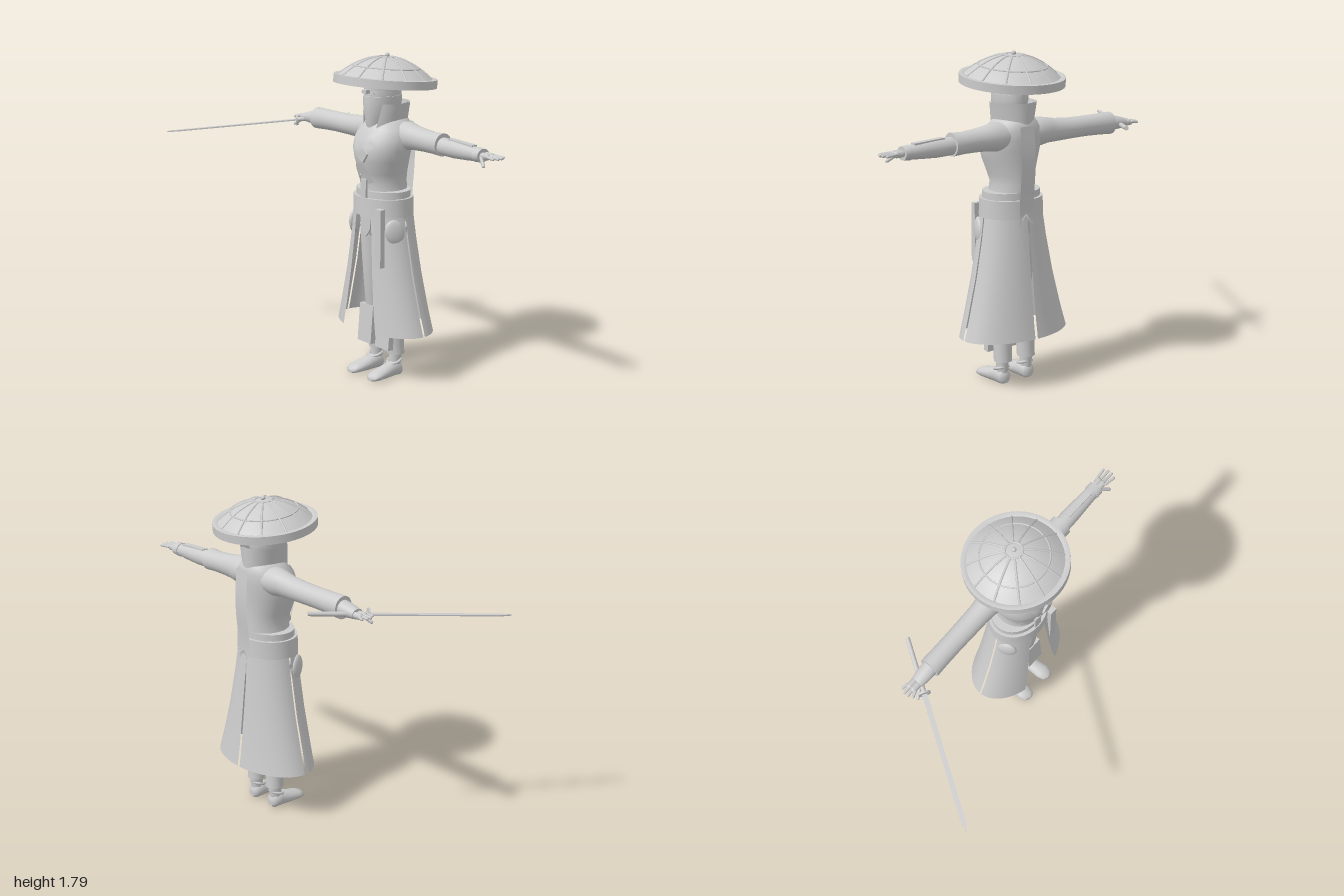
import * as THREE from 'three';
import { toCreasedNormals } from 'three/addons/utils/BufferGeometryUtils.js';

const CX = 0.155; // body centre line
const grey = new THREE.MeshStandardMaterial({ color: 0xcccccc, side: THREE.DoubleSide });
grey.name = 'clay grey';

function add(parent, name, geo) {
  const m = new THREE.Mesh(geo, grey);
  m.name = name;
  parent.add(m);
  return m;
}

function grid(rows, n, point) {
  const pos = [], idx = [];
  for (let i = 0; i < rows; i++) for (let j = 0; j <= n; j++) pos.push(...point(i, j / n));
  for (let i = 0; i < rows - 1; i++) for (let j = 0; j < n; j++) {
    const a = i * (n + 1) + j, b = a + n + 1;
    idx.push(a, a + 1, b, a + 1, b + 1, b);
  }
  const g = new THREE.BufferGeometry();
  g.setAttribute('position', new THREE.Float32BufferAttribute(pos, 3));
  g.setIndex(idx);
  g.computeVertexNormals();
  return g;
}

// Solid of elliptical rings [t, u, v, ru, rv] along an axis, closed at both ends
function loft(axis, rings, n = 24) {
  const first = rings[0], last = rings[rings.length - 1];
  const all = [[...first.slice(0, 3), 0, 0], ...rings, [...last.slice(0, 3), 0, 0]];
  return toCreasedNormals(grid(all.length, n, (i, f) => {
    const [t, u, v, ru, rv] = all[i], s = Math.sin(f * 2 * Math.PI) * ru, c = Math.cos(f * 2 * Math.PI) * rv;
    if (axis === 'y') return [u + s, t, v + c];
    if (axis === 'x') return [t, u - s, v + c];
    return [u - s, Math.max(0, v + c), t];
  }), 0.8);
}

// Open curved panel; rows are [y, zCentre, rx, rz, startAngle, endAngle]
const panel = (rows, n = 14) => grid(rows.length, n, (i, f) => {
  const [y, zc, rx, rz, a0, a1] = rows[i], a = a0 + (a1 - a0) * f;
  return [CX + Math.sin(a) * rx, y, zc + Math.cos(a) * rz];
});

// Rounded rod between two points
function rod(parent, name, a, b, r) {
  const p = new THREE.Vector3(...a), q = new THREE.Vector3(...b), d = q.clone().sub(p);
  const m = add(parent, name, new THREE.CapsuleGeometry(r, d.length(), 4, 8));
  m.position.copy(p).add(q).multiplyScalar(0.5);
  m.quaternion.setFromUnitVectors(new THREE.Vector3(0, 1, 0), d.normalize());
}

function box(parent, name, size, at, rz = 0, rx = 0) {
  const m = add(parent, name, new THREE.BoxGeometry(...size));
  m.position.set(...at);
  m.rotation.set(rx, 0, rz);
}

// Torso rows: [y, half width, front z, back z]
const torso = [[1.0, 0.125, -0.06, -0.32], [1.05, 0.12, -0.065, -0.32], [1.1, 0.11, -0.065, -0.32],
  [1.15, 0.123, -0.05, -0.32], [1.22, 0.145, -0.025, -0.325], [1.28, 0.163, -0.02, -0.33],
  [1.34, 0.168, -0.04, -0.335], [1.39, 0.152, -0.07, -0.335], [1.43, 0.115, -0.1, -0.325], [1.46, 0.07, -0.13, -0.3]];

function chestZ(x, y) {
  let k = 0;
  while (k < torso.length - 2 && torso[k + 1][0] < y) k++;
  const A = torso[k], B = torso[k + 1], f = (y - A[0]) / (B[0] - A[0]);
  const [, w, zf, zb] = A.map((v, i) => v + (B[i] - v) * f);
  return (zf + zb) / 2 + (zf - zb) / 2 * Math.sqrt(Math.max(0, 1 - ((x - CX) / w) ** 2));
}

// Flat band lying on the chest
function strap(parent, name, [x0, y0], [x1, y1], width, lift) {
  const l = Math.hypot(x1 - x0, y1 - y0), nx = -(y1 - y0) / l, ny = (x1 - x0) / l;
  add(parent, name, grid(13, 4, (i, f) => {
    const t = i / 12, x = x0 + (x1 - x0) * t + nx * (f - 0.5) * width, y = y0 + (y1 - y0) * t + ny * (f - 0.5) * width;
    return [x, y, chestZ(x, y) + lift];
  }));
}

function hat() {
  const g = new THREE.Group();
  g.name = 'strawHat';
  const dome = r => 0.128 - 0.108 * (r / 0.25) ** 2;
  const prof = [[0, 0.112], [0.1, 0.094], [0.18, 0.05], [0.255, 0], [0.267, -0.023], [0.278, -0.023], [0.278, 0.022], [0.262, 0.024]];
  for (let r = 0.25; r > -0.001; r -= 0.025) prof.push([Math.max(0, r), dome(r)]);
  add(g, 'hatShell', toCreasedNormals(new THREE.LatheGeometry(prof.map(p => new THREE.Vector2(...p)), 48), 0.5));
  for (let i = 0; i < 12; i++) {
    const pts = [0.045, 0.1, 0.15, 0.2, 0.25].map(r => new THREE.Vector3(0, dome(r), r));
    add(g, 'hatRib', new THREE.TubeGeometry(new THREE.CatmullRomCurve3(pts), 10, 0.006, 6)).rotation.y = (i + 0.5) * Math.PI / 6;
  }
  for (const r of [0.045, 0.18]) {
    const ring = add(g, 'hatRing', new THREE.TorusGeometry(r, 0.005, 6, 48));
    ring.rotation.x = Math.PI / 2;
    ring.position.y = dome(r);
  }
  add(g, 'hatKnob', new THREE.SphereGeometry(0.013, 12, 8)).position.y = 0.135;
  g.position.set(0.153, 1.64, -0.195);
  g.rotation.x = -0.085;
  return g;
}

// Hand reaching outward along x from the wrist
function hand(parent, side, wx, y, len) {
  const z = -0.235, X = d => wx + side * d;
  rod(parent, 'palm', [X(0.01), y, z - 0.015], [X(0.04), y, z - 0.015], 0.018);
  rod(parent, 'palm', [X(0.01), y, z + 0.012], [X(0.04), y, z + 0.012], 0.018);
  for (let i = 0; i < 4; i++)
    rod(parent, 'finger', [X(0.045), y + 0.004, z - 0.03 + i * 0.019], [X(len - (i % 3 ? 0.01 : 0.022)), y, z - 0.036 + i * 0.024], 0.008);
  rod(parent, 'thumb', [X(0.01), y - 0.008, z + 0.025], [X(0.055), y - 0.04, z + 0.05], 0.009);
}

function sword() {
  const g = new THREE.Group();
  g.name = 'sword';
  const s = new THREE.Shape([[-0.014, 0], [0.014, 0], [0.012, 0.69], [0, 0.748], [-0.012, 0.69]].map(p => new THREE.Vector2(...p)));
  const blade = new THREE.ExtrudeGeometry(s, { depth: 0.007, bevelEnabled: false });
  add(g, 'blade', blade.translate(0, 0, -0.0035).rotateX(Math.PI / 2));
  add(g, 'guard', new THREE.CylinderGeometry(0.033, 0.033, 0.01, 24).rotateX(Math.PI / 2));
  add(g, 'grip', new THREE.CylinderGeometry(0.012, 0.012, 0.31, 12).rotateX(Math.PI / 2)).position.z = -0.155;
  g.position.set(-0.6, 1.325, -0.17);
  g.lookAt(-1, 1.27, 0.46);
  return g;
}

export function createModel() {
  const model = new THREE.Group();
  model.name = 'wanderer';
  model.add(hat(), sword());

  // Head, mask and wrap
  add(model, 'head', loft('y', [[1.36, CX, -0.2, 0.06, 0.07], [1.42, CX, -0.18, 0.06, 0.09], [1.48, CX, -0.18, 0.072, 0.105],
    [1.55, CX, -0.178, 0.078, 0.11], [1.62, CX, -0.18, 0.08, 0.11], [1.68, CX, -0.19, 0.065, 0.09], [1.72, CX, -0.195, 0.035, 0.05]]));
  add(model, 'faceMask', loft('y', [[1.38, CX, -0.13, 0.035, 0.05], [1.42, CX, -0.15, 0.055, 0.08], [1.48, CX, -0.17, 0.075, 0.108],
    [1.53, CX, -0.175, 0.084, 0.117], [1.565, CX, -0.175, 0.084, 0.115]]));
  add(model, 'headWrap', loft('y', [[1.595, CX, -0.18, 0.084, 0.115], [1.65, CX, -0.18, 0.084, 0.115]]));
  box(model, 'browKnot', [0.035, 0.02, 0.03], [CX, 1.592, -0.06]);
  for (const s of [-1, 1]) box(model, 'eye', [0.035, 0.01, 0.009], [CX + s * 0.032, 1.58, -0.073], s * 0.25);

  // Coat body with tall open collar
  add(model, 'torso', loft('y', torso.map(([y, w, f, b]) => [y, CX, (f + b) / 2, w, (f - b) / 2]), 32));
  for (const k of [0, 0.012])
    add(model, 'collar', panel([[1.31, -0.19, 0.085, 0.13, 0.5, 5.78], [1.4, -0.195, 0.095, 0.132, 0.6, 5.68],
      [1.525, -0.205, 0.12, 0.13, 0.72, 5.56]].map(r => [r[0], r[1], r[2] - k, r[3] - k, r[4], r[5]]), 32));
  for (const s of [-1, 1])
    strap(model, 'lapel', [CX + s * 0.065, 1.385], [CX - s * 0.035, 1.1], 0.04, s > 0 ? 0.004 : 0.007);
  strap(model, 'chestStrap', [0.235, 1.33], [0.065, 1.09], 0.04, 0.014);
  box(model, 'strapBuckle', [0.05, 0.06, 0.014], [0.19, 1.26, -0.012], -0.6);
  box(model, 'beltTie', [0.045, 0.12, 0.012], [CX, 1.06, -0.048]);

  // Cloth hanging down the back, with forked end
  const cloth = new THREE.PlaneGeometry(0.09, 0.53, 2, 12), p = cloth.attributes.position;
  for (let i = 0; i < p.count; i++) {
    const y = p.getY(i) + 1.145;
    p.setXYZ(i, p.getX(i) + 0.17, y < 0.9 && Math.abs(p.getX(i)) < 0.01 ? 0.95 : y, -0.349 + 0.009 * Math.sin((y - 0.8) * 11));
  }
  cloth.computeVertexNormals();
  add(model, 'backCloth', cloth);

  // Belt and long split skirt
  add(model, 'sash', loft('y', [[0.98, CX, -0.187, 0.163, 0.133], [1.057, CX, -0.187, 0.163, 0.133]], 32));
  add(model, 'belt', loft('y', [[0.922, CX, -0.186, 0.18, 0.152], [1.02, CX, -0.186, 0.178, 0.15]], 32));
  const skirt = [[0.28, -0.205, 0.325, 0.205], [0.4, -0.2, 0.29, 0.192], [0.6, -0.195, 0.238, 0.174], [0.8, -0.19, 0.198, 0.157], [0.96, -0.186, 0.173, 0.147]];
  for (const s of [-1, 1]) {
    const span = (a, b) => skirt.map((r, i) => [...r, ...(s > 0 ? [a(i), b(i)] : [-b(i), -a(i)])]);
    add(model, 'frontSkirtPanel', panel(span(i => 0.43 - i * 0.022, () => Math.PI / 2 - 0.03)));
    add(model, 'backSkirtPanel', panel(span(() => Math.PI / 2 + 0.03, () => Math.PI - 0.025)));
  }
  const flap = new THREE.Shape([[-0.05, 0.94], [-0.035, 0.84], [0, 0.8], [0.035, 0.84], [0.05, 0.94]].map(q => new THREE.Vector2(...q)));
  add(model, 'frontFlap', new THREE.ExtrudeGeometry(flap, { depth: 0.01, bevelEnabled: false })).position.set(CX, 0, -0.07);
  box(model, 'scabbard', [0.046, 0.32, 0.03], [0.283, 0.815, -0.053]);
  for (const s of [-1, 1]) {
    const pouch = add(model, 'pouch', new THREE.SphereGeometry(1, 20, 14));
    pouch.scale.set(0.022, 0.07, 0.055);
    pouch.position.set(CX + s * 0.167, 0.845, -0.125);
    pouch.rotation.set(0.35, -s * 0.35, s * 0.15);
  }

  // Legs, shin guards and shoes
  add(model, 'hips', loft('y', [[0.78, CX, -0.19, 0.05, 0.07], [0.83, CX, -0.19, 0.12, 0.105], [0.95, CX, -0.19, 0.14, 0.12]]));
  for (const s of [-1, 1]) {
    const x = d => CX + s * d;
    add(model, 'trouserLeg', loft('y', [[0.125, x(0.078), -0.217, 0.05, 0.048], [0.2, x(0.077), -0.212, 0.05, 0.05], [0.32, x(0.074), -0.205, 0.054, 0.058],
      [0.42, x(0.068), -0.19, 0.054, 0.058], [0.5, x(0.064), -0.183, 0.054, 0.064], [0.65, x(0.065), -0.185, 0.063, 0.078], [0.85, x(0.068), -0.19, 0.07, 0.095]]));
    box(model, 'shinGuard', [0.112, 0.215, 0.035], [x(0.075), 0.273, -0.142], 0, -0.08);
    add(model, 'ankle', loft('y', [[0.04, x(0.08), -0.21, 0.03, 0.035], [0.14, x(0.08), -0.215, 0.034, 0.038]], 16));
    add(model, 'shoe', loft('z', [[-0.25, x(0.08), 0.03, 0.02, 0.025], [-0.235, x(0.08), 0.035, 0.038, 0.042], [-0.19, x(0.08), 0.04, 0.042, 0.046],
      [-0.13, x(0.083), 0.03, 0.044, 0.036], [-0.07, x(0.087), 0.024, 0.048, 0.028], [-0.035, x(0.087), 0.018, 0.038, 0.02], [-0.02, x(0.086), 0.014, 0.018, 0.01]], 20));
    const band = add(model, 'shoeStrap', new THREE.TorusGeometry(0.038, 0.008, 8, 20));
    band.position.set(x(0.08), 0.083, -0.205);
    band.rotation.x = Math.PI / 2 + 0.3;
  }

  // Right arm (rings run along x)
  const z = -0.235;
  add(model, 'rightSleeve', loft('x', [[-0.485, 1.345, z, 0.061, 0.058], [-0.4, 1.347, z, 0.058, 0.056], [-0.3, 1.348, z, 0.056, 0.056],
    [-0.2, 1.348, z, 0.057, 0.058], [-0.1, 1.35, z, 0.062, 0.06], [-0.04, 1.355, z, 0.068, 0.066], [0.01, 1.355, z, 0.077, 0.075], [0.08, 1.355, z, 0.07, 0.075]]));
  add(model, 'rightWrist', loft('x', [[-0.585, 1.338, z, 0.027, 0.035], [-0.53, 1.342, z, 0.037, 0.042], [-0.48, 1.345, z, 0.042, 0.044]]));
  hand(model, -1, -0.58, 1.337, 0.095);

  // Left arm with forearm bracer
  add(model, 'leftSleeve', loft('x', [[0.23, 1.355, z, 0.07, 0.075], [0.3, 1.355, z, 0.077, 0.075], [0.36, 1.353, z, 0.066, 0.064],
    [0.43, 1.35, z, 0.06, 0.06], [0.5, 1.347, z, 0.057, 0.058], [0.57, 1.346, z, 0.061, 0.06]]));
  add(model, 'leftBracer', loft('x', [[0.56, 1.34, z, 0.046, 0.046], [0.66, 1.338, z, 0.047, 0.045], [0.76, 1.337, z, 0.041, 0.04], [0.84, 1.337, z, 0.034, 0.037]]));
  add(model, 'leftCuff', loft('x', [[0.825, 1.337, z, 0.039, 0.043], [0.865, 1.337, z, 0.035, 0.042]]));
  box(model, 'bracerPlate', [0.18, 0.014, 0.035], [0.71, 1.378, z], -0.05);
  hand(model, 1, 0.865, 1.338, 0.127);

  return model;
}
